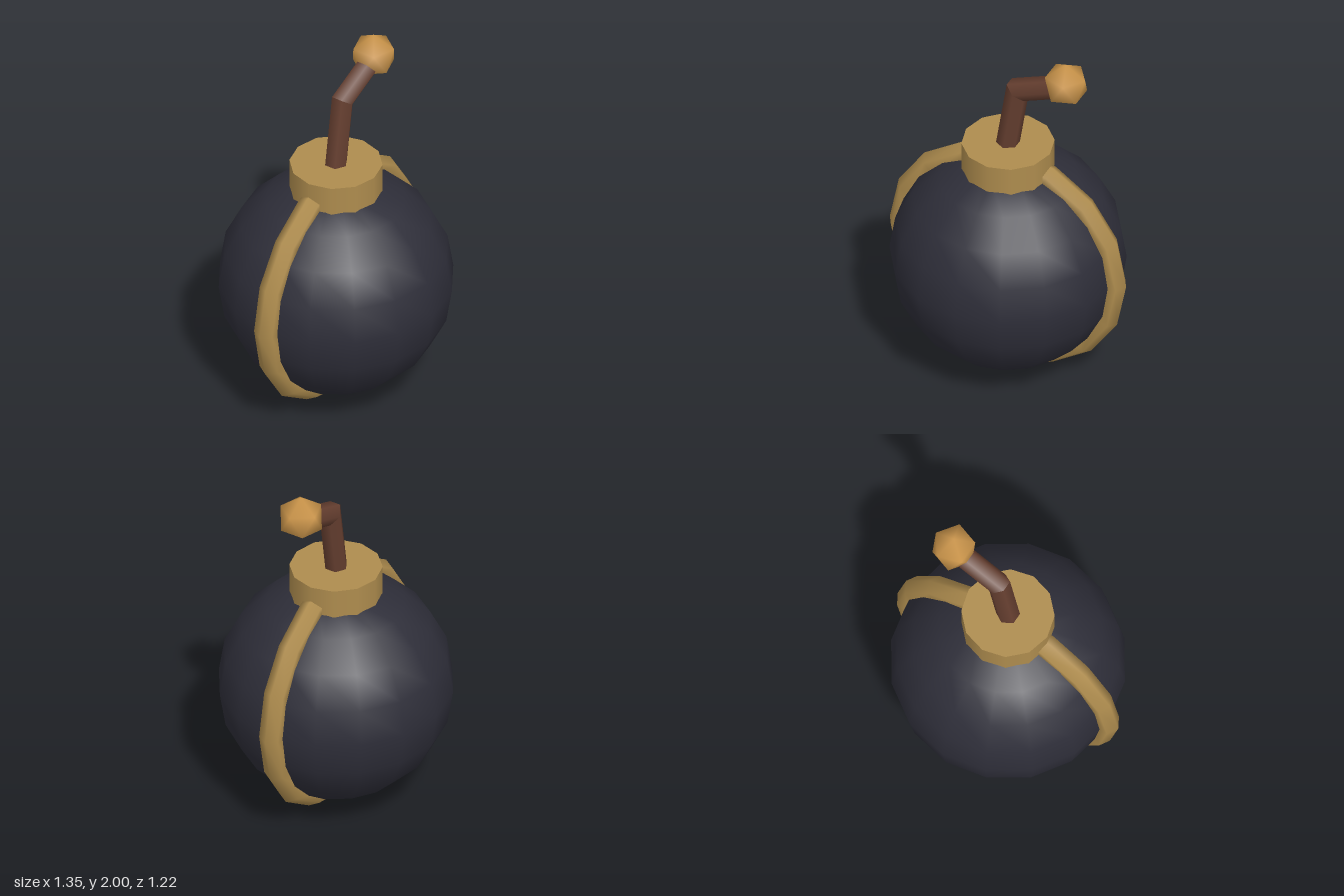
import * as THREE from 'three';

const CENTER_Y = 0.677;

export function createModel() {
  const bomb = new THREE.Group();
  bomb.name = 'bomb';

  const iron = new THREE.MeshStandardMaterial({ color: 0x2e2e39 });
  const brass = new THREE.MeshStandardMaterial({ color: 0xae8c4e });
  const cord = new THREE.MeshStandardMaterial({ color: 0x663f30 });
  const spark = new THREE.MeshStandardMaterial({ color: 0xcb954a });

  function add(name, geometry, material, x, y) {
    const mesh = new THREE.Mesh(geometry, material);
    mesh.name = name;
    mesh.position.set(x, y, 0);
    bomb.add(mesh);
    return mesh;
  }

  // Round shell with the band around it and the collar on top
  add('shell', new THREE.SphereGeometry(0.61, 16, 10), iron, 0, CENTER_Y);
  add('band', new THREE.TorusGeometry(0.61, 0.066, 6, 16), brass, 0, CENTER_Y);
  add('collar', new THREE.CylinderGeometry(0.24, 0.24, 0.21, 12), brass, 0, 1.285);

  // Bent fuse: two six-sided rods, sheared at the elbow so they meet in a mitre
  const points = [
    new THREE.Vector2(-0.003, 1.37),
    new THREE.Vector2(0.055, 1.745),
    new THREE.Vector2(0.33, 1.86),
  ];
  const headings = [0, 1].map((i) => points[i + 1].clone().sub(points[i]).angle());
  const mitre = Math.tan((headings[0] - headings[1]) / 2);

  for (let i = 0; i < 2; i++) {
    const length = points[i].distanceTo(points[i + 1]);
    const rod = new THREE.CylinderGeometry(0.061, 0.061, length, 6);
    const pos = rod.attributes.position;
    const slope = i === 0 ? -mitre : mitre;
    for (let v = 0; v < pos.count; v++) {
      const atElbow = (pos.getY(v) > 0) === (i === 0);
      if (atElbow) pos.setY(v, pos.getY(v) + slope * pos.getX(v));
    }
    const middle = points[i].clone().lerp(points[i + 1], 0.5);
    const mesh = add(i === 0 ? 'fuseLower' : 'fuseUpper', rod, cord, middle.x, middle.y);
    mesh.rotation.z = headings[i] - Math.PI / 2;
  }

  // Fuse tip: icosahedron standing on a corner, with smooth normals
  const tip = new THREE.IcosahedronGeometry(0.123, 0);
  tip.rotateZ(-Math.atan(2 / (1 + Math.sqrt(5))));
  const normals = tip.attributes.position.clone();
  tip.setAttribute('normal', normals);
  tip.normalizeNormals();
  add('fuseTip', tip, spark, 0.332, 1.877);

  return bomb;
}
